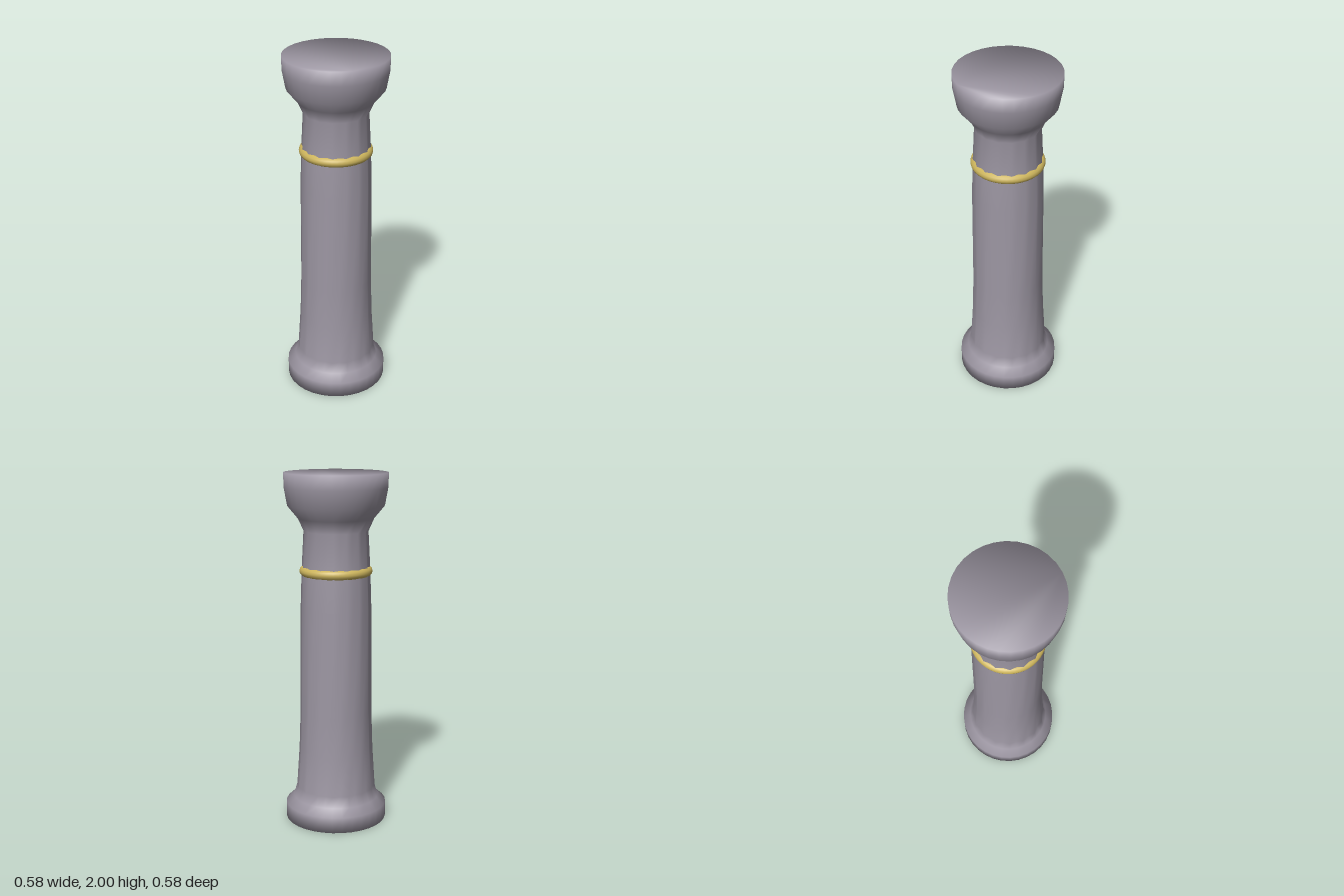
import * as THREE from 'three';

const SIDES = 32;

// Rings of [radius, height, flute depth], bottom to top
const PROFILE = [
  [0.29, 0, 0],
  [0.29, 0.09, 0],
  [0.245, 0.13, 0],
  [0.228, 0.19, 0.01],
  [0.213, 0.42, 0.01],
  [0.205, 0.65, 0.01],
  [0.2, 1.25, 0.01],
  [0.193, 1.46, 0.01],
  [0.181, 1.68, 0.006],
  [0.212, 1.75, 0],
  [0.27, 1.82, 0],
  [0.288, 1.92, 0],
  [0.29, 2, 0],
];

// Closed, softly shaded column whose odd vertices sink in to form flutes
function columnGeometry() {
  const pos = [], index = [];
  for (const [r, y, depth] of PROFILE) {
    for (let i = 0; i < SIDES; i++) {
      const a = (i / SIDES) * Math.PI * 2;
      const rad = r - (i % 2) * depth;
      pos.push(Math.sin(a) * rad, y, Math.cos(a) * rad);
    }
  }
  const last = PROFILE.length - 1;
  for (let j = 0; j < last; j++) {
    for (let i = 0; i < SIDES; i++) {
      const n = (i + 1) % SIDES;
      const a = j * SIDES + i, b = j * SIDES + n;
      index.push(a, b, b + SIDES, a, b + SIDES, a + SIDES);
    }
  }
  // End caps
  const top = last * SIDES;
  for (let i = 1; i < SIDES - 1; i++) {
    index.push(top, top + i, top + i + 1, 0, i + 1, i);
  }
  const geo = new THREE.BufferGeometry();
  geo.setAttribute('position', new THREE.Float32BufferAttribute(pos, 3));
  geo.setIndex(index);
  geo.computeVertexNormals();

  // Rim normals lean halfway between wall and cap
  const k = Math.SQRT1_2;
  for (let i = 0; i < SIDES; i++) {
    const a = (i / SIDES) * Math.PI * 2;
    geo.attributes.normal.setXYZ(i, Math.sin(a) * k, -k, Math.cos(a) * k);
    geo.attributes.normal.setXYZ(top + i, Math.sin(a) * k, k, Math.cos(a) * k);
  }
  return geo;
}

export function createModel() {
  const stone = new THREE.MeshStandardMaterial({ color: 0x9c96a2 });
  stone.name = 'stone';
  const gold = new THREE.MeshStandardMaterial({ color: 0xccb45c });
  gold.name = 'gold';

  const group = new THREE.Group();
  group.name = 'column';

  // Base, fluted shaft and capital in one skin
  const column = new THREE.Mesh(columnGeometry(), stone);
  column.name = 'flutedColumn';
  group.add(column);

  // Gold band around the upper shaft
  const band = new THREE.Mesh(new THREE.TorusGeometry(0.178, 0.027, 12, 48), gold);
  band.name = 'neckBand';
  band.rotation.x = Math.PI / 2;
  band.position.y = 1.457;
  group.add(band);

  return group;
}
